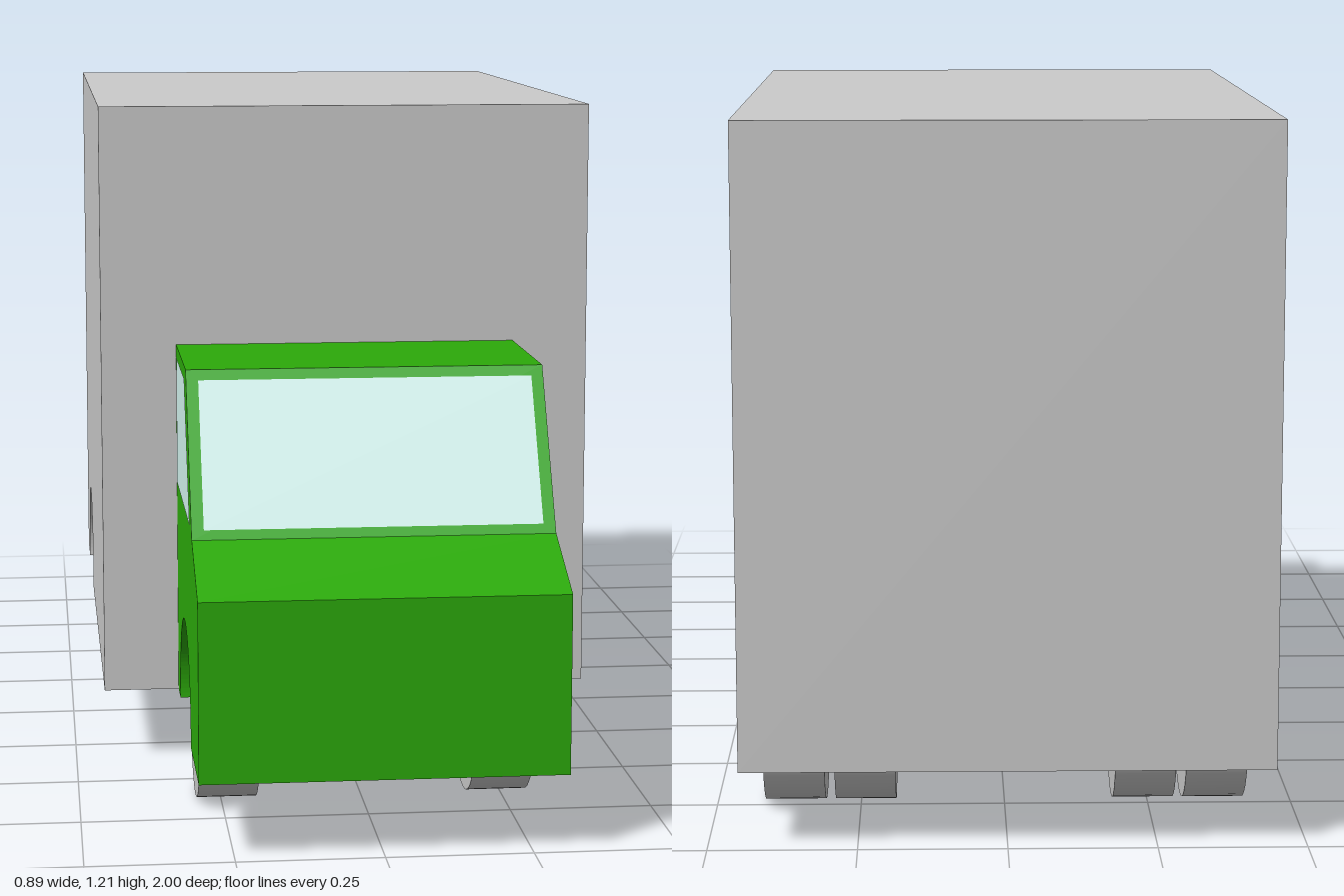
import * as THREE from 'three';

const grey = new THREE.MeshStandardMaterial({ color: 0xcccccc });
const green = new THREE.MeshStandardMaterial({ color: 0x2caa0a });
const glass = new THREE.MeshStandardMaterial({ color: 0xd4f4ef, side: THREE.DoubleSide });

const WHEEL_R = 0.146, ARCH_R = 0.171, FLOOR = 0.133;
const FRONT_Z = 0.597, REAR_Z = -0.693, SPLIT_Z = 0.361;
const CAB_HALF = 0.31, BOX_HALF = 0.447;

// Side profile (z, y): floor with one wheel arch, then the given upper outline
function archedBody(name, backZ, frontZ, archZ, upper, halfWidth, material) {
  const dip = Math.asin((WHEEL_R - FLOOR) / ARCH_R);
  const shape = new THREE.Shape();
  shape.moveTo(backZ, FLOOR);
  shape.lineTo(archZ - ARCH_R * Math.cos(dip), FLOOR);
  shape.absarc(archZ, WHEEL_R, ARCH_R, Math.PI + dip, -dip, true);
  shape.lineTo(frontZ, FLOOR);
  upper.forEach(([z, y]) => shape.lineTo(z, y));
  shape.closePath();
  const geo = new THREE.ExtrudeGeometry(shape, { depth: 2 * halfWidth, bevelEnabled: false, curveSegments: 32 });
  geo.translate(0, 0, -halfWidth).rotateY(-Math.PI / 2);
  const mesh = new THREE.Mesh(geo, material);
  mesh.name = name;
  return mesh;
}

export function createModel() {
  const truck = new THREE.Group();
  truck.name = 'boxTruck';

  // Cab and cargo box
  truck.add(archedBody('cab', SPLIT_Z, 1, FRONT_Z,
    [[1, 0.44], [0.837, 0.51], [0.68, 0.777], [SPLIT_Z, 0.777]], CAB_HALF, green));
  truck.add(archedBody('cargoBox', -1, SPLIT_Z, REAR_Z,
    [[SPLIT_Z, 1.21], [-1, 1.21]], BOX_HALF, grey));

  // Windscreen lying on the sloped cab front
  const slope = Math.atan2(0.157, 0.267);
  const windscreen = new THREE.Mesh(new THREE.PlaneGeometry(0.578, 0.272), glass);
  windscreen.name = 'windscreen';
  windscreen.rotation.x = -slope;
  windscreen.position.set(0, 0.642, 0.7594);
  windscreen.translateZ(0.002);
  truck.add(windscreen);

  // Side windows
  const pane = new THREE.Shape([[0.405, 0.53], [0.812, 0.53], [0.672, 0.76], [0.405, 0.76]]
    .map(([z, y]) => new THREE.Vector2(z, y)));
  for (const side of [-1, 1]) {
    const sideWindow = new THREE.Mesh(new THREE.ShapeGeometry(pane), glass);
    sideWindow.name = side > 0 ? 'leftWindow' : 'rightWindow';
    sideWindow.rotation.y = -Math.PI / 2;
    sideWindow.position.x = side * (CAB_HALF + 0.002);
    truck.add(sideWindow);
  }

  // Single front wheels, twin rear wheels
  const wheelGeo = new THREE.CylinderGeometry(WHEEL_R, WHEEL_R, 0.105, 48).rotateZ(Math.PI / 2);
  const wheels = [['frontWheel', 0.241, FRONT_Z], ['rearInnerWheel', 0.241, REAR_Z], ['rearOuterWheel', 0.363, REAR_Z]];
  for (const side of [-1, 1]) {
    for (const [name, x, z] of wheels) {
      const wheel = new THREE.Mesh(wheelGeo, grey);
      wheel.name = name;
      wheel.position.set(side * x, WHEEL_R, z);
      truck.add(wheel);
    }
  }
  return truck;
}
